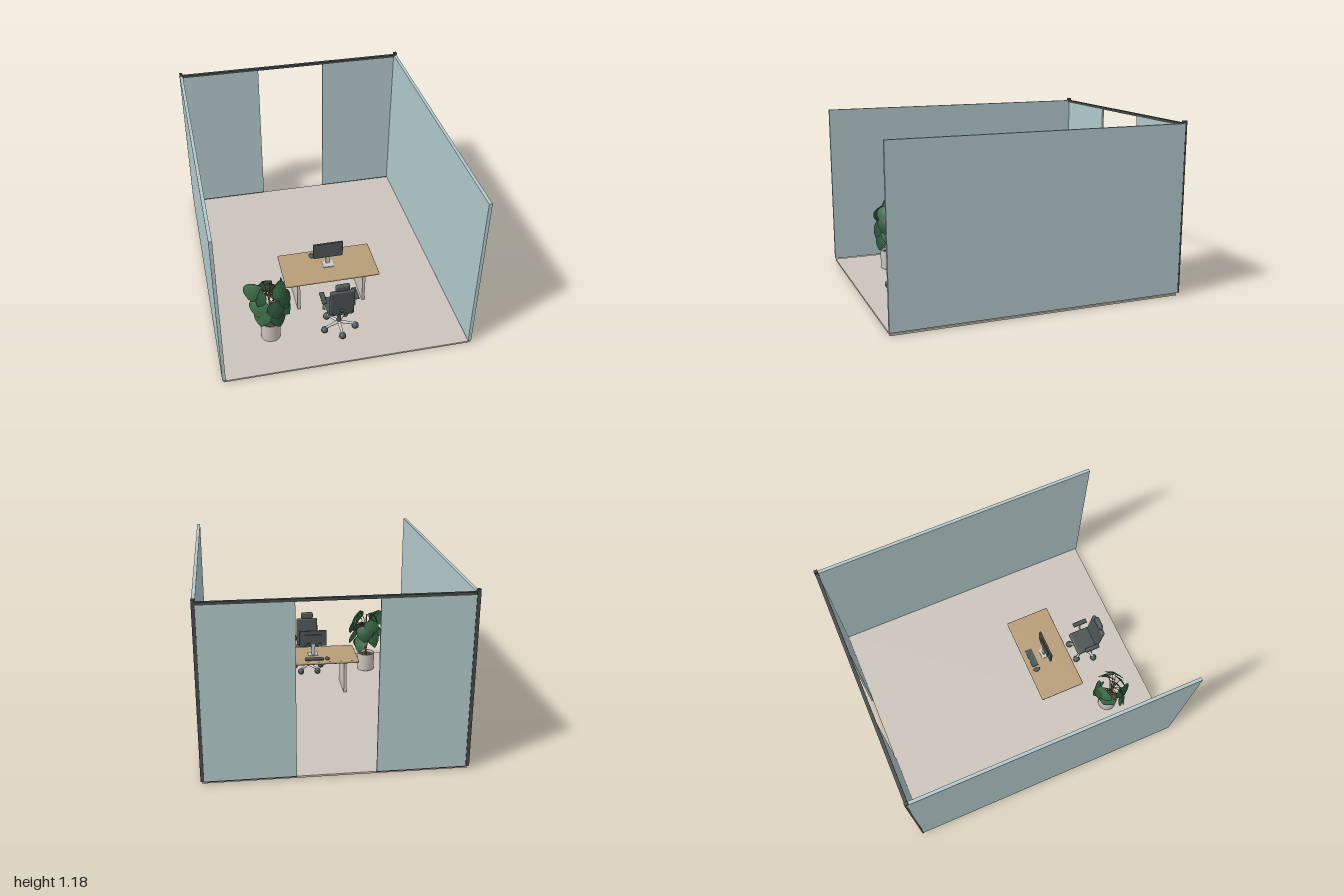
import * as THREE from 'three';
import { RoundedBoxGeometry } from 'three/addons/geometries/RoundedBoxGeometry.js';

const mat = (name, color, side = THREE.FrontSide) => {
  const m = new THREE.MeshStandardMaterial({ color, side });
  m.name = name;
  return m;
};

export function createModel() {
  const wallMat = mat('wall blue grey', 0xb2c8ca);
  const floorMat = mat('warm grey', 0xcac4bb);
  const frameMat = mat('frame charcoal', 0x464a4a);
  const woodMat = mat('wood', 0xb89d78);
  const darkMat = mat('upholstery', 0x4c5454);
  const metalMat = mat('light metal', 0xc9cac8);
  const leafMat = mat('leaf green', 0x3a6b47, THREE.DoubleSide);
  const darkLeafMat = mat('dark leaf green', 0x2a5238, THREE.DoubleSide);
  const stemMat = mat('stem brown', 0x8a6c4c);
  const soilMat = mat('soil', 0x4a4038);

  const model = new THREE.Group();
  model.name = 'office';
  const group = (name, x = 0, y = 0, z = 0) => {
    const g = new THREE.Group();
    g.name = name;
    g.position.set(x, y, z);
    model.add(g);
    return g;
  };
  const add = (parent, name, geo, material, x = 0, y = 0, z = 0) => {
    const m = new THREE.Mesh(geo, material);
    m.name = name;
    m.position.set(x, y, z);
    parent.add(m);
    return m;
  };
  const box = (w, h, d) => new THREE.BoxGeometry(w, h, d);
  const soft = (w, h, d, r) => new RoundedBoxGeometry(w, h, d, 3, r);
  // round bar between two points
  const bar = (parent, name, material, a, b, r, r2 = r) => {
    const p = new THREE.Vector3(...a), q = new THREE.Vector3(...b);
    const d = q.clone().sub(p);
    const m = add(parent, name, new THREE.CylinderGeometry(r2, r, d.length(), 12), material);
    m.position.copy(p).add(q).multiplyScalar(0.5);
    m.quaternion.setFromUnitVectors(new THREE.Vector3(0, 1, 0), d.normalize());
    return m;
  };

  // Room shell: floor, side walls, back panels either side of the doorway
  const room = group('room');
  add(room, 'floor', box(1.66, 0.012, 1.98), floorMat, 0, 0.006, 0.005);
  add(room, 'topRail', box(1.64, 0.018, 0.022), frameMat, 0, 1.158, -0.987);
  for (const s of [-1, 1]) {
    add(room, 'sideWall', box(0.022, 1.145, 1.988), wallMat, s * 0.827, 0.5925, 0.006);
    add(room, 'backPanel', box(0.568, 1.13, 0.014), wallMat, s * 0.534, 0.584, -0.988);
    add(room, 'bottomRail', box(0.568, 0.007, 0.014), frameMat, s * 0.534, 0.0155, -0.988);
    add(room, 'cornerPost', box(0.022, 1.15, 0.012), frameMat, s * 0.828, 0.595, -0.994);
    add(room, 'postCap', box(0.022, 0.018, 0.025), frameMat, s * 0.828, 1.174, -0.9875);
  }

  // Desk
  const desk = group('desk', 0, 0, 0.335);
  add(desk, 'deskTop', soft(0.66, 0.022, 0.33, 0.009), woodMat, 0, 0.275, 0);
  for (const s of [-1, 1]) add(desk, 'deskLeg', box(0.02, 0.253, 0.24), floorMat, s * 0.232, 0.1385, 0);

  // Monitor, keyboard and mouse
  const computer = group('computer', 0, 0.286, 0.335);
  add(computer, 'screen', soft(0.208, 0.122, 0.014, 0.004), darkMat, 0, 0.129, 0);
  add(computer, 'screenHousing', soft(0.13, 0.07, 0.012, 0.005), darkMat, 0, 0.125, -0.009);
  add(computer, 'standNeck', box(0.026, 0.09, 0.008), metalMat, 0, 0.045, -0.012);
  add(computer, 'standFoot', box(0.074, 0.005, 0.068), metalMat, 0, 0.0025, 0);
  add(computer, 'keyboard', box(0.138, 0.007, 0.05), darkMat, 0, 0.0035, -0.105);
  add(computer, 'mouse', new THREE.SphereGeometry(1, 16, 10), darkMat, -0.097, 0.004, -0.107)
    .scale.set(0.017, 0.01, 0.026);

  // Office chair, facing the desk
  const chair = group('chair', 0, 0, 0.68);
  for (let i = 0; i < 5; i++) {
    const a = i * Math.PI * 2 / 5, x = Math.sin(a), z = Math.cos(a);
    bar(chair, 'baseSpoke', metalMat, [0, 0.065, 0], [x * 0.108, 0.055, z * 0.108], 0.012, 0.008);
    add(chair, 'caster', new THREE.SphereGeometry(0.024, 16, 12), darkMat, x * 0.112, 0.04, z * 0.112);
  }
  bar(chair, 'column', darkMat, [0, 0.05, 0], [0, 0.185, 0], 0.015);
  add(chair, 'seat', soft(0.18, 0.036, 0.17, 0.016), darkMat, 0, 0.2, -0.015);
  add(chair, 'backrest', soft(0.168, 0.22, 0.028, 0.012), darkMat, 0, 0.315, 0.075).rotation.x = 0.12;
  add(chair, 'headrest', soft(0.096, 0.05, 0.032, 0.013), darkMat, 0, 0.45, 0.083).rotation.x = 0.12;
  bar(chair, 'backBracket', darkMat, [0, 0.19, 0.04], [0, 0.25, 0.085], 0.013);
  for (const s of [-1, 1]) {
    add(chair, 'armPad', soft(0.034, 0.014, 0.11, 0.006), darkMat, s * 0.11, 0.297, -0.005);
    bar(chair, 'armPost', metalMat, [s * 0.107, 0.2, 0], [s * 0.107, 0.292, 0], 0.006);
    bar(chair, 'armBracket', metalMat, [s * 0.07, 0.2, 0], [s * 0.11, 0.2, 0], 0.006);
  }

  // Potted plant: hollow pot, soil, pole, stems and hanging leaves
  const plant = group('plant', -0.467, 0.013, 0.66);
  const potProfile = [[0, 0], [0.062, 0], [0.066, 0.004], [0.067, 0.138], [0.064, 0.141], [0.059, 0.138], [0.058, 0.1]]
    .map(([r, y]) => new THREE.Vector2(r, y));
  const potMat = floorMat;
  add(plant, 'pot', new THREE.LatheGeometry(potProfile, 32), potMat);
  add(plant, 'soil', new THREE.CylinderGeometry(0.059, 0.059, 0.01, 32), soilMat, 0, 0.115, 0);
  bar(plant, 'pole', stemMat, [0, 0.11, 0], [0, 0.465, 0], 0.006);

  // Leaf: a grid narrowed to a pointed oval, folded on its midrib and curled to the tip
  const leafGeo = new THREE.PlaneGeometry(1, 1, 4, 10);
  const p = leafGeo.attributes.position;
  for (let i = 0; i < p.count; i++) {
    const u = p.getX(i) * 2, t = 0.5 - p.getY(i);
    const w = 0.56 * Math.pow(Math.sin(Math.PI * Math.pow(t, 0.72)), 0.75) || 0;
    p.setXYZ(i, u * w, -t + 0.05 * Math.abs(u) * (1 - t), 0.35 * t * (1 - t) - Math.abs(u) * w * 0.25);
  }
  leafGeo.computeVertexNormals();

  // x, z, height of the leaf base, yaw, length
  const leaves = [
    [-0.098, 0.01, 0.485, -0.3, 0.13], [-0.055, 0.04, 0.455, -1.2, 0.13],
    [0.05, 0.035, 0.48, 0.8, 0.135], [0.08, -0.02, 0.465, 1.3, 0.13],
    [0.09, 0.04, 0.41, 0.9, 0.13], [-0.075, 0.02, 0.36, -0.5, 0.13],
    [-0.05, -0.05, 0.33, -2.4, 0.13], [0.03, 0.075, 0.37, 0.3, 0.13],
    [0.085, 0.02, 0.33, 0.9, 0.13], [-0.05, 0.055, 0.28, -0.5, 0.12],
    [0.025, -0.085, 0.39, 2.8, 0.13], [0.05, -0.06, 0.3, 2.2, 0.13],
    [-0.03, -0.07, 0.43, -2.8, 0.13], [0.04, 0.06, 0.27, 0.5, 0.12],
  ];
  leaves.forEach(([x, z, y, yaw, len], i) => {
    const leaf = add(plant, 'leaf', leafGeo, i % 3 === 1 ? darkLeafMat : leafMat, x, y, z);
    leaf.scale.set(len * 0.52 / 0.56, len, len);
    leaf.rotation.set(-0.22 - 0.06 * (i % 3), yaw, 0.1 * ((i % 3) - 1), 'YXZ');
    const curve = new THREE.QuadraticBezierCurve3(
      new THREE.Vector3(0, Math.max(0.12, y - 0.14), 0),
      new THREE.Vector3(x * 0.4, y - 0.02, z * 0.4),
      new THREE.Vector3(x, y, z));
    add(plant, 'stem', new THREE.TubeGeometry(curve, 8, 0.0028, 6), stemMat);
  });

  return model;
}
